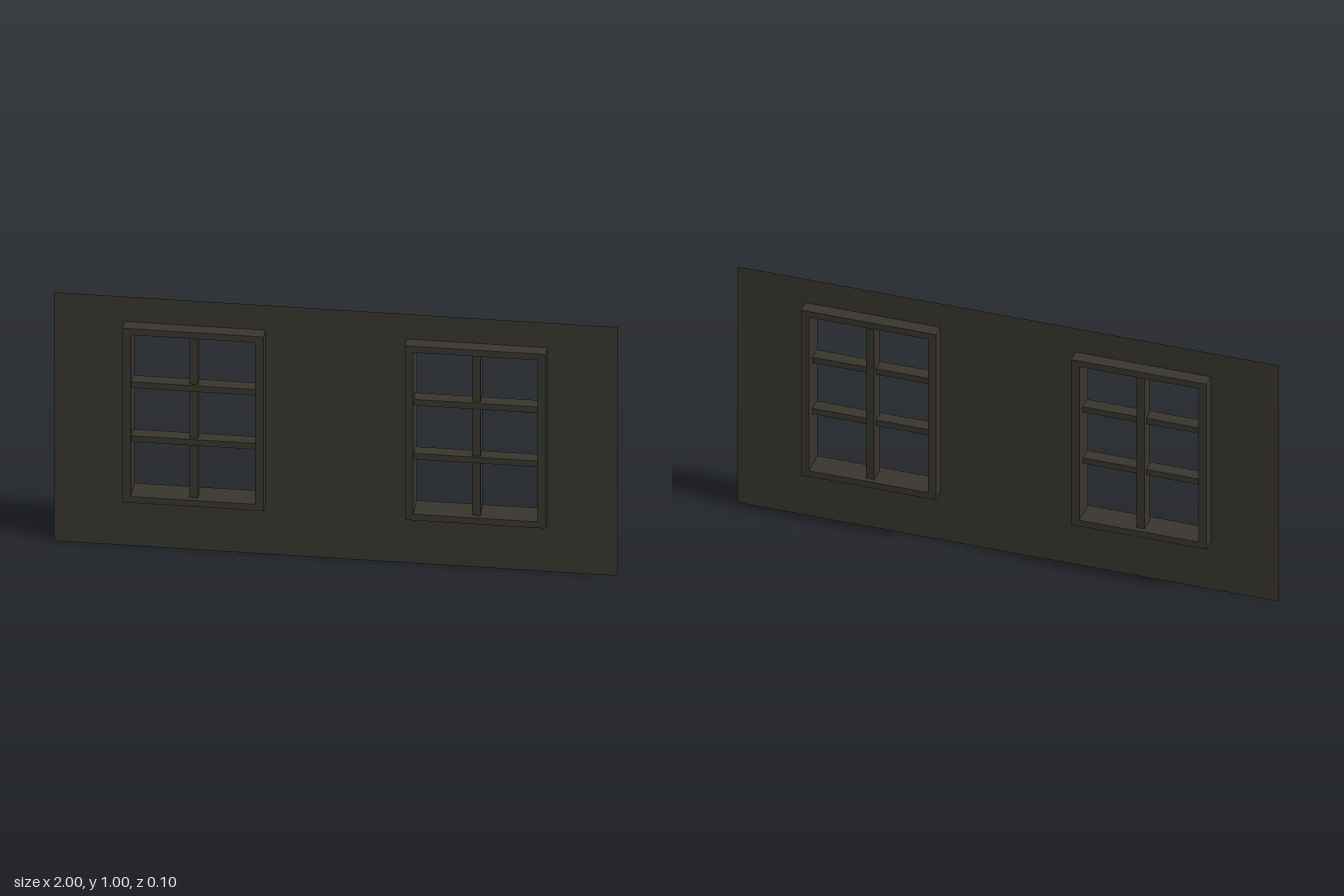
import * as THREE from 'three';

const W = 0.5, H = 0.7, BOTTOM = 0.2; // window opening in the wall
const SIDE = 0.03, RAIL = 0.025, DEPTH = 0.1; // frame section

function rectPath(PathType, x0, y0, x1, y1) {
  const p = new PathType();
  p.moveTo(x0, y0);
  p.lineTo(x1, y0);
  p.lineTo(x1, y1);
  p.lineTo(x0, y1);
  p.closePath();
  return p;
}

export function createModel() {
  const wallPaint = new THREE.MeshStandardMaterial({ color: 0x37352d });
  wallPaint.name = 'darkOlivePaint';
  wallPaint.side = THREE.DoubleSide;

  const model = new THREE.Group();
  model.name = 'windowWall';

  function addMesh(parent, name, geometry, x = 0, y = 0, z = 0) {
    const mesh = new THREE.Mesh(geometry, wallPaint);
    mesh.name = name;
    mesh.position.set(x, y, z);
    parent.add(mesh);
  }

  // Paper-thin wall with two window openings
  const wall = rectPath(THREE.Shape, -1, 0, 1, 1);
  for (const x of [-0.5, 0.5]) {
    wall.holes.push(rectPath(THREE.Path, x - W / 2, BOTTOM, x + W / 2, BOTTOM + H));
  }
  addMesh(model, 'wall', new THREE.ShapeGeometry(wall));

  // Deep frame with one upright bar and two cross bars
  function addWindow(name, x) {
    const win = new THREE.Group();
    win.name = name;
    win.position.x = x;

    const outline = rectPath(THREE.Shape, -W / 2, BOTTOM, W / 2, BOTTOM + H);
    outline.holes.push(rectPath(THREE.Path,
      -W / 2 + SIDE, BOTTOM + RAIL, W / 2 - SIDE, BOTTOM + H - RAIL));
    const frame = new THREE.ExtrudeGeometry(outline, { depth: DEPTH, bevelEnabled: false });
    addMesh(win, 'frame', frame, 0, 0, -DEPTH / 2);

    addMesh(win, 'uprightBar', new THREE.BoxGeometry(0.03, H - 2 * RAIL, 0.06), 0, BOTTOM + H / 2, 0);
    for (const y of [0.452, 0.669]) {
      addMesh(win, 'crossBar', new THREE.BoxGeometry(W - 2 * SIDE, 0.024, 0.05), 0, y, 0.015);
    }
    model.add(win);
  }
  addWindow('rightWindow', -0.5);
  addWindow('leftWindow', 0.5);

  return model;
}
